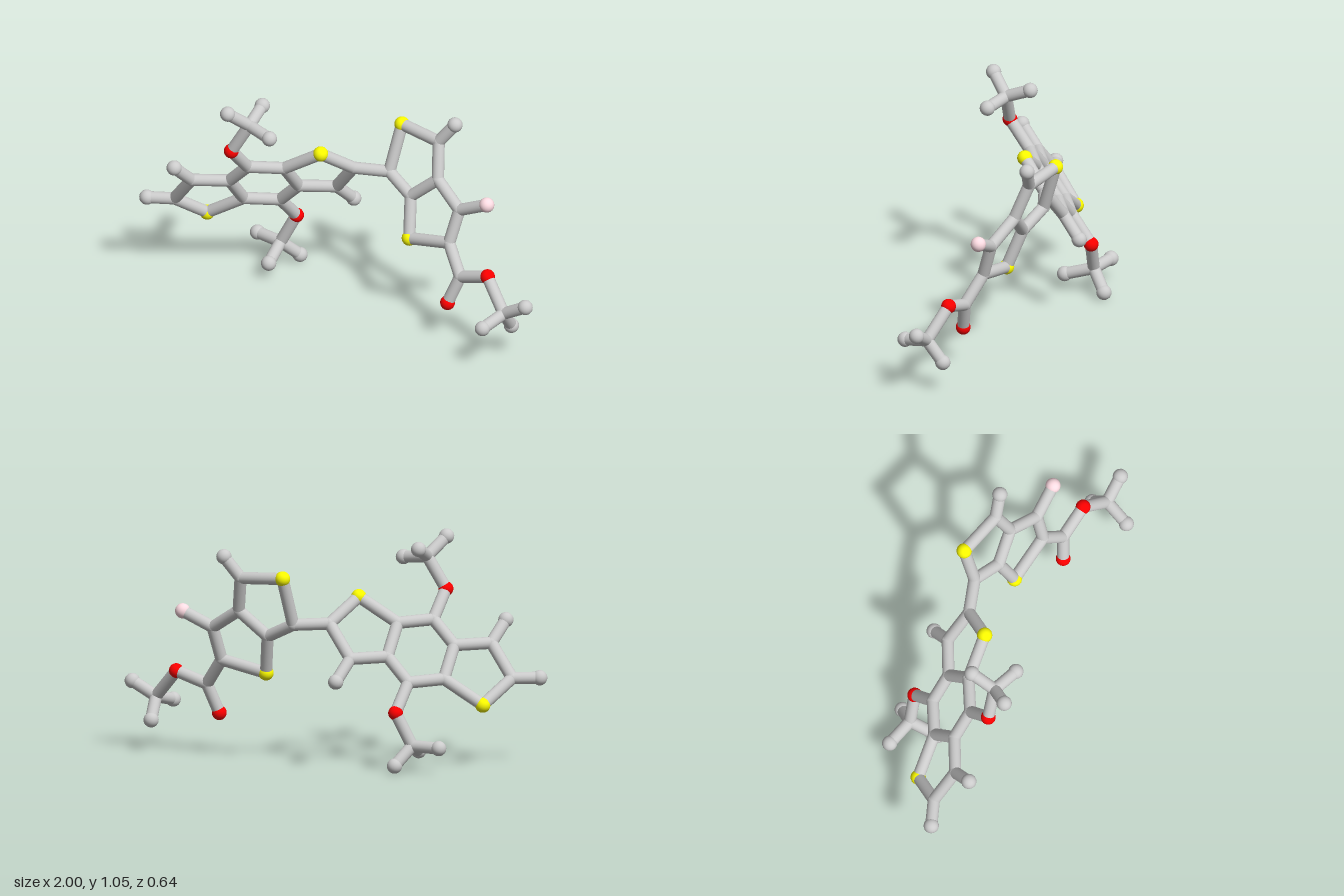
import * as THREE from 'three';

const STICK = 0.028;
const grey = new THREE.MeshStandardMaterial({ color: 0xcccccc });
const yellow = new THREE.MeshStandardMaterial({ color: 0xffff00 });
const red = new THREE.MeshStandardMaterial({ color: 0xff0000 });
const pink = new THREE.MeshStandardMaterial({ color: 0xffdde4 });

// Ball style for each element: name, radius, material
const KINDS = {
  C: ['carbonJoint', 0.029, grey],
  H: ['hydrogenBall', 0.035, grey],
  S: ['sulfurBall', 0.035, yellow],
  O: ['oxygenBall', 0.034, red],
  F: ['fluorineBall', 0.035, pink],
};

// Centre of the fused three-ring core; the core is point-symmetric about it
const CENTRE = [-0.443, 0.53, -0.015];
const corePlane = (x, y) => CENTRE[2] - 0.469 * (x - CENTRE[0]) + 0.718 * (y - CENTRE[1]);
const sidePlane = (x, y) => 0.258 * x - 0.343 * y + 0.031;

function addBall(group, kind, p) {
  const [name, radius, material] = KINDS[kind];
  const ball = new THREE.Mesh(new THREE.SphereGeometry(radius, 20, 14), material);
  ball.name = name;
  ball.position.copy(p);
  group.add(ball);
}

function addStick(group, a, b) {
  const dir = b.clone().sub(a);
  const geo = new THREE.CylinderGeometry(STICK, STICK, dir.length(), 20, 1, true);
  const stick = new THREE.Mesh(geo, grey);
  stick.name = 'bondStick';
  stick.position.copy(a).addScaledVector(dir, 0.5);
  stick.quaternion.setFromUnitVectors(new THREE.Vector3(0, 1, 0), dir.normalize());
  group.add(stick);
}

export function createModel() {
  const model = new THREE.Group();
  model.name = 'ballAndStickMolecule';
  const points = {};

  // atoms: id -> [kind, x, y, z]; bonds: chains of ids
  function addPart(name, atoms, chains) {
    const group = new THREE.Group();
    group.name = name;
    for (const [id, [kind, x, y, z]] of Object.entries(atoms)) {
      points[id] = new THREE.Vector3(x, y, z);
      addBall(group, kind, points[id]);
    }
    for (const chain of chains) {
      const ids = chain.split(' ');
      for (let i = 1; i < ids.length; i++) addStick(group, points[ids[i - 1]], points[ids[i]]);
    }
    model.add(group);
  }

  // Fused core: one half listed, the other reflected through the centre
  const half = {
    sulfur: ['S', -0.742, 0.296],
    alpha: ['C', -0.847, 0.405],
    beta: ['C', -0.735, 0.555],
    betaH: ['H', -0.78, 0.65],
    fuseA: ['C', -0.58, 0.55],
    fuseB: ['C', -0.56, 0.41],
    arm: ['C', -0.474, 0.661],
    armO: ['O', -0.506, 0.787],
  };
  const core = {};
  for (const [id, [kind, x, y]] of Object.entries(half)) {
    const p = [x, y, corePlane(x, y)];
    core[id + '1'] = [kind, ...p];
    core[id + '2'] = [kind, ...p.map((v, i) => 2 * CENTRE[i] - v)];
  }
  core.endH = ['H', -0.966, 0.405, 0.127];
  const coreChains = ['alpha1 endH'];
  for (const [n, m] of [[1, 2], [2, 1]]) {
    coreChains.push(
      `sulfur${n} alpha${n} beta${n} fuseA${n} fuseB${n} sulfur${n}`,
      `beta${n} betaH${n}`,
      `fuseA${n} arm${n} fuseB${m}`,
      `arm${n} armO${n}`
    );
  }
  addPart('fusedCore', core, coreChains);

  // Methyl ends: a carbon, tied to an oxygen, with three hydrogens
  function addMethyl(name, from, carbon, hydrogens) {
    const atoms = { [name]: ['C', ...carbon] };
    const chains = [`${from} ${name}`];
    hydrogens.forEach((h, i) => {
      atoms[name + i] = ['H', ...h];
      chains.push(`${name} ${name}${i}`);
    });
    addPart(name, atoms, chains);
  }
  addMethyl('upperMethyl', 'armO1', [-0.42, 0.935, 0.19],
    [[-0.49, 1.018, 0.272], [-0.41, 0.983, 0.072], [-0.295, 0.92, 0.24]]);
  addMethyl('lowerMethyl', 'armO2', [-0.455, 0.123, -0.218],
    [[-0.59, 0.122, -0.257], [-0.45, 0.08, -0.08], [-0.39, 0.038, -0.287]]);

  // Tilted double ring on the model's left
  const ring = {
    link: ['C', 0.12, 0.65],
    ringS1: ['S', 0.152, 0.87],
    top: ['C', 0.365, 0.858],
    topH: ['H', 0.44, 0.955],
    joinA: ['C', 0.39, 0.697],
    joinB: ['C', 0.255, 0.583],
    ringS2: ['S', 0.28, 0.403],
    low: ['C', 0.5, 0.45],
    high: ['C', 0.53, 0.605],
    fluorine: ['F', 0.675, 0.672],
  };
  for (const a of Object.values(ring)) a.push(sidePlane(a[1], a[2]));
  addPart('sideRings', ring, [
    'alpha2 link ringS1 top joinA joinB link',
    'joinB ringS2 low high joinA', 'top topH', 'high fluorine',
  ]);

  // Ester tail
  addPart('esterTail', {
    ester: ['C', 0.585, 0.325, 0.068],
    doubleO: ['O', 0.533, 0.19, 0.092],
    singleO: ['O', 0.737, 0.375, 0.097],
  }, ['low ester', 'ester doubleO', 'ester singleO']);
  addMethyl('tailMethyl', 'singleO', [0.85, 0.243, 0.165],
    [[0.965, 0.308, 0.178], [0.8, 0.213, 0.285], [0.853, 0.145, 0.088]]);

  return model;
}
